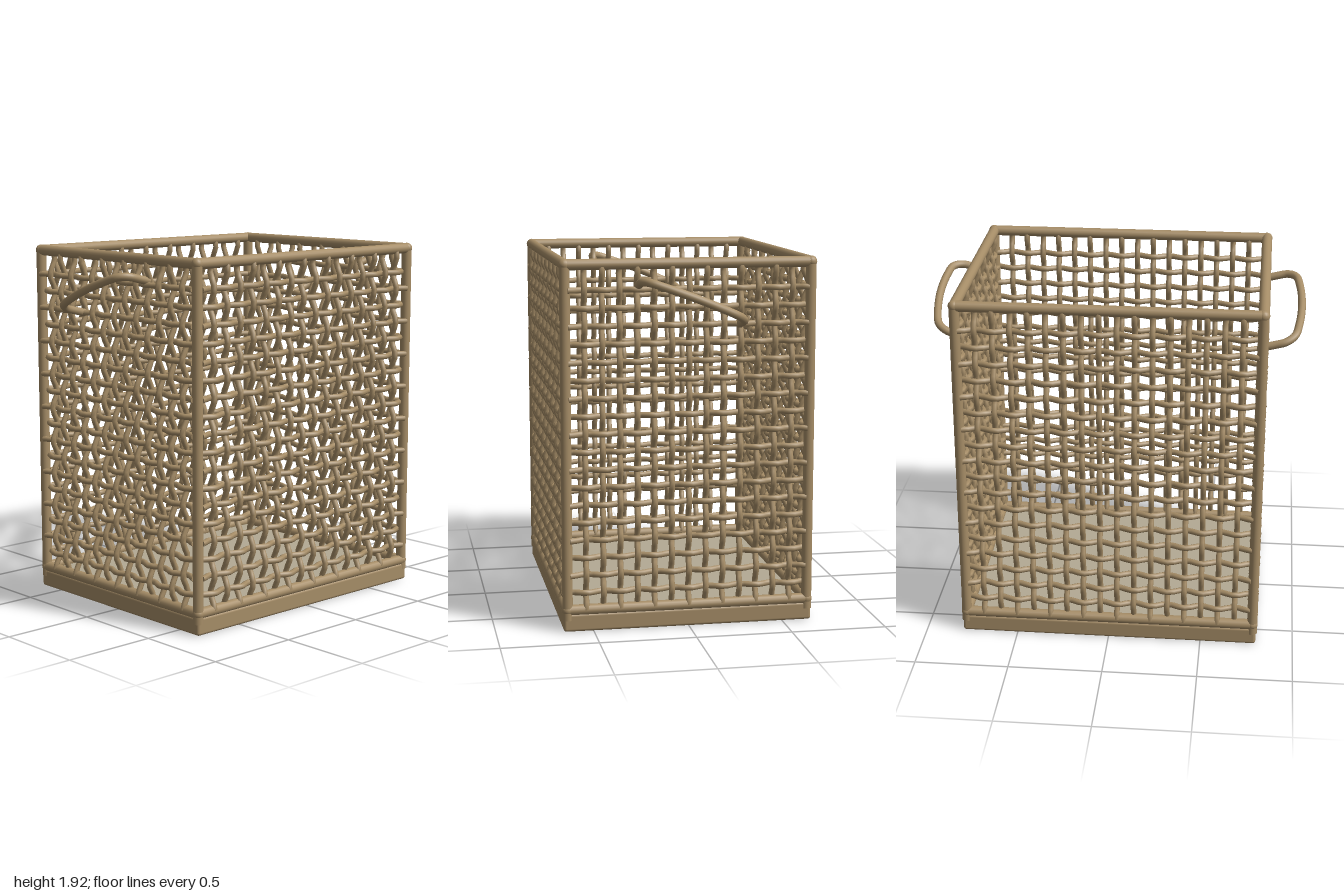
import * as THREE from 'three';
import { mergeGeometries } from 'three/addons/utils/BufferGeometryUtils.js';
import { RoundedBoxGeometry } from 'three/addons/geometries/RoundedBoxGeometry.js';

const X = 0.78, Z = 0.633;            // corner post centres
const TOP = 1.886, BOTTOM = 0.112;    // rim heights
const ROWS = 18, ROW0 = 0.204, ROW_STEP = 0.0914;
const AMP = 0.016, STRAND_R = 0.0155;

// Curve defined directly by a function of t
class RuleCurve extends THREE.Curve {
  constructor(rule) { super(); this.rule = rule; }
  getPoint(t) { return this.rule(t); }
  getUtoTmapping(u) { return u; }
}

// One wavy strand with flat end caps
function strand(rule, segments) {
  const curve = new RuleCurve(rule);
  const parts = [new THREE.TubeGeometry(curve, segments, STRAND_R, 7)];
  for (const t of [0, 1]) {
    const cap = new THREE.CircleGeometry(STRAND_R, 7);
    const dir = curve.getTangent(t).multiplyScalar(t ? 1 : -1);
    cap.applyQuaternion(new THREE.Quaternion().setFromUnitVectors(new THREE.Vector3(0, 0, 1), dir));
    const p = curve.getPoint(t);
    parts.push(cap.translate(p.x, p.y, p.z));
  }
  return mergeGeometries(parts);
}

// Woven panel in the xy plane, facing +z
function wovenPanel(columns, step, halfWidth) {
  const parts = [];
  const col0 = -step * (columns - 1) / 2;
  for (let i = 0; i < ROWS; i++) {
    const y = ROW0 + i * ROW_STEP, sign = i % 2 ? -1 : 1;
    parts.push(strand(t => {
      const x = (2 * t - 1) * halfWidth;
      return new THREE.Vector3(x, y, sign * AMP * Math.cos(Math.PI * (x - col0) / step));
    }, columns * 3));
  }
  for (let j = 0; j < columns; j++) {
    const x = col0 + j * step, sign = j % 2 ? 1 : -1;
    parts.push(strand(t => {
      const y = 0.115 + t * 1.755;
      return new THREE.Vector3(x, y, sign * AMP * Math.cos(Math.PI * (y - ROW0) / ROW_STEP));
    }, ROWS * 3));
  }
  return mergeGeometries(parts);
}

export function createModel() {
  const model = new THREE.Group();
  model.name = 'wovenBasket';
  const cane = new THREE.MeshStandardMaterial({ name: 'cane', color: 0xa68d67 });
  const floorTone = new THREE.MeshStandardMaterial({ name: 'pale floor', color: 0xb4aa94 });

  const add = (name, geometry, material = cane, parent = model) => {
    const mesh = new THREE.Mesh(geometry, material);
    mesh.name = name;
    parent.add(mesh);
    return mesh;
  };

  // Base slab and inner floor
  add('base', new RoundedBoxGeometry(1.6, 0.095, 1.31, 3, 0.015)).position.y = 0.0475;
  add('floor', new THREE.BoxGeometry(1.53, 0.008, 1.24), floorTone).position.y = 0.097;

  // Four woven sides
  const wide = wovenPanel(16, 0.0907, 0.765);
  const narrow = wovenPanel(13, 0.0893, 0.62);
  [['front', wide, Z], ['right', narrow, X], ['back', wide, Z], ['left', narrow, X]]
    .forEach(([side, geometry, distance], k) => {
      const angle = -k * Math.PI / 2;
      const panel = add(side + 'Weave', geometry);
      panel.rotation.y = angle;
      panel.position.set(Math.sin(angle) * distance, 0, Math.cos(angle) * distance);
    });

  // Top and bottom rims with rounded corners
  for (const [name, y] of [['topRim', TOP], ['bottomRim', BOTTOM]]) {
    const rim = new THREE.Group();
    rim.name = name;
    model.add(rim);
    for (const s of [-1, 1]) {
      const long = add('longRail', new THREE.CylinderGeometry(0.028, 0.028, 2 * X, 16), cane, rim);
      long.rotation.z = Math.PI / 2;
      long.position.set(0, y, s * Z);
      const short = add('shortRail', new THREE.CylinderGeometry(0.028, 0.028, 2 * Z, 16), cane, rim);
      short.rotation.x = Math.PI / 2;
      short.position.set(s * X, y, 0);
      for (const q of [-1, 1]) {
        add('rimCorner', new THREE.SphereGeometry(0.03, 16, 12), cane, rim).position.set(s * X, y, q * Z);
      }
    }
  }

  // Corner posts
  for (const sx of [-1, 1]) for (const sz of [-1, 1]) {
    add('cornerPost', new THREE.CylinderGeometry(0.027, 0.027, TOP - 0.06, 16))
      .position.set(sx * X, (TOP + 0.06) / 2, sz * Z);
  }

  // Slanted loop handles, higher toward the front
  const outline = [[0.78, 0.262], [0.84, 0.262], [0.9, 0.258], [0.945, 0.225], [0.966, 0.15], [0.979, 0]];
  const loop = [...outline, ...outline.slice(0, -1).reverse().map(([x, z]) => [x, -z])];
  for (const s of [-1, 1]) {
    const path = new THREE.CatmullRomCurve3(loop.map(([x, z]) =>
      new THREE.Vector3(s * x, 1.68 + 0.385 * z + 0.25 * (x - 0.8), z)));
    add(s > 0 ? 'leftHandle' : 'rightHandle', new THREE.TubeGeometry(path, 64, 0.021, 12));
  }
  return model;
}
